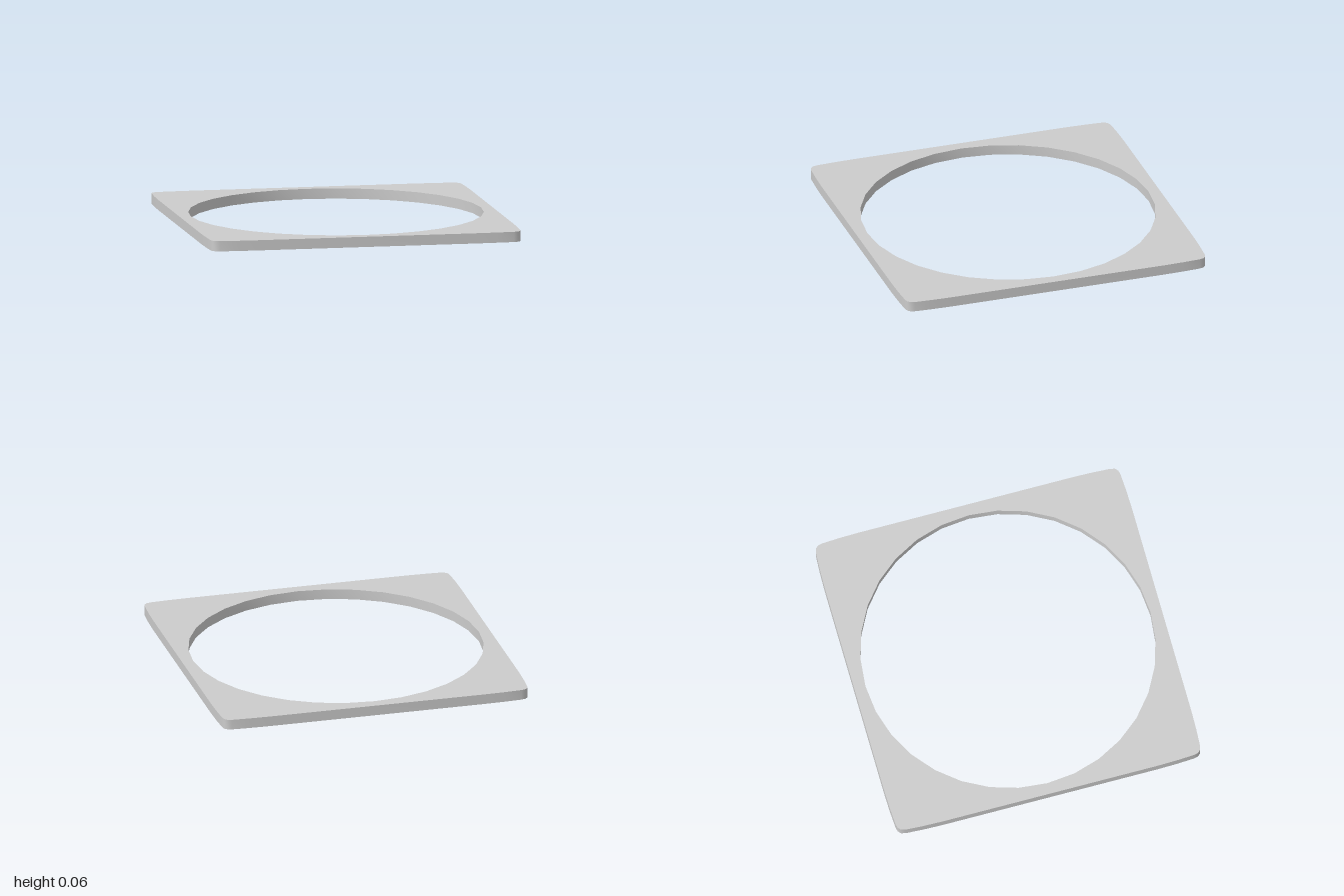
import * as THREE from 'three';
import { toCreasedNormals } from 'three/addons/utils/BufferGeometryUtils.js';

const THICKNESS = 0.065;
const HOLE_RADIUS = 0.928;
const HOLE_SIDES = 32;

// One corner of the outline: nearly straight sides that bow in to a small round
const CORNER = [
  [1, 0.7], [0.997, 0.83], [0.991, 0.94], [0.984, 0.967],
  [0.967, 0.984], [0.94, 0.991], [0.83, 0.997], [0.7, 1],
];

export function createModel() {
  const group = new THREE.Group();
  group.name = 'squareRing';

  // Outline: the corner turned through four quarter turns
  const outline = [];
  for (let i = 0; i < 4; i++) {
    for (const [x, y] of CORNER) {
      outline.push(new THREE.Vector2(x, y).rotateAround(new THREE.Vector2(), i * Math.PI / 2));
    }
  }
  const shape = new THREE.Shape(outline);

  // Round opening
  const hole = [];
  for (let i = 0; i < HOLE_SIDES; i++) {
    const a = -i / HOLE_SIDES * Math.PI * 2;
    hole.push(new THREE.Vector2(Math.cos(a) * HOLE_RADIUS, Math.sin(a) * HOLE_RADIUS));
  }
  shape.holes.push(new THREE.Path(hole));

  // Flat plate, smooth around the walls and sharp at the rims
  const plate = new THREE.ExtrudeGeometry(shape, { depth: THICKNESS, bevelEnabled: false });
  plate.rotateX(-Math.PI / 2);
  const frame = new THREE.Mesh(
    toCreasedNormals(plate, Math.PI / 5),
    new THREE.MeshStandardMaterial({ color: 0xcccccc }),
  );
  frame.name = 'framePlate';
  group.add(frame);

  return group;
}
